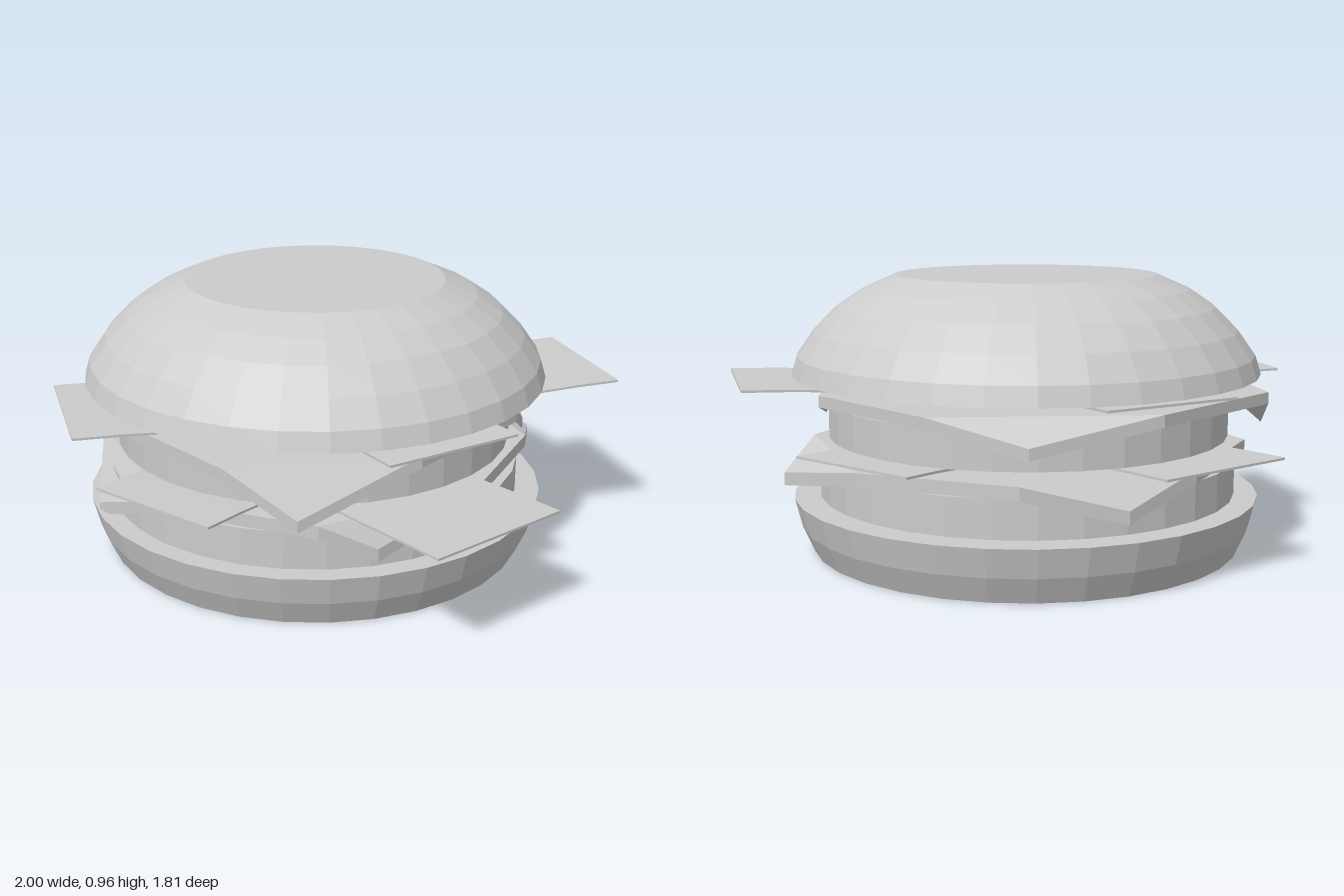
import * as THREE from 'three';

const grey = new THREE.MeshStandardMaterial({ color: 0xcccccc, flatShading: true });
grey.name = 'plain grey';

export function createModel() {
  const burger = new THREE.Group();
  burger.name = 'burger';

  const add = (name, geometry, x = 0, y = 0, z = 0) => {
    const mesh = new THREE.Mesh(geometry, grey);
    mesh.name = name;
    mesh.position.set(x, y, z);
    burger.add(mesh);
    return mesh;
  };

  // Round layers: [radius, height] profiles, closed top and bottom
  const round = (name, profile, x, z) => add(name, new THREE.LatheGeometry(
    profile.map(([r, y]) => new THREE.Vector2(r, y)), 32), x, 0, z);

  round('bottomBun', [[0, 0], [0.76, 0], [0.8, 0.09], [0.825, 0.19], [0, 0.19]], -0.055, -0.04);
  round('lowerPatty', [[0, 0.19], [0.74, 0.19], [0.74, 0.32], [0, 0.32]], -0.055, -0.025);
  round('upperPatty', [[0, 0.4], [0.71, 0.4], [0.71, 0.525], [0, 0.525]], -0.06, -0.03);
  round('topBun', [[0, 0.62], [0.825, 0.62], [0.805, 0.685], [0.745, 0.77], [0.665, 0.85],
    [0.575, 0.91], [0.46, 0.96], [0, 0.96]], -0.055, -0.04);

  // Cheese slice: flat octagon whose four corners fold down.
  // Each side lists start x, z, end x, z, then the following corner tip x, z and drop.
  const cheese = (name, top, thick, sides) => {
    const ring = [];
    for (const [ax, az, bx, bz, tx, tz, drop] of sides) {
      ring.push(new THREE.Vector3(ax, top, az), new THREE.Vector3(bx, top, bz),
        new THREE.Vector3(tx, top - drop, tz));
    }
    const n = ring.length;
    const under = ring.map(p => p.clone().setY(p.y - thick));
    const centre = new THREE.Vector3(-0.06, top, 0);
    const centreUnder = centre.clone().setY(top - thick);
    const points = [];
    const tri = (a, b, c) => points.push(a, b, c);
    for (let i = 0; i < n; i++) {
      const j = (i + 1) % n;
      // rim
      tri(under[i], under[j], ring[j]);
      tri(under[i], ring[j], ring[i]);
    }
    for (let i = 0; i < n; i += 3) {
      const b = i + 1, t = i + 2, c = (i + 3) % n;
      // flat middle, then folded corner, on both faces
      tri(centre, ring[i], ring[b]);
      tri(centre, ring[b], ring[c]);
      tri(ring[b], ring[t], ring[c]);
      tri(centreUnder, under[b], under[i]);
      tri(centreUnder, under[c], under[b]);
      tri(under[b], under[c], under[t]);
    }
    const geometry = new THREE.BufferGeometry().setFromPoints(points);
    geometry.computeVertexNormals();
    add(name, geometry);
  };

  cheese('lowerCheese', 0.37, 0.045, [
    [-0.30, 0.70, 0.22, 0.72, 0.39, 0.63, 0.095],
    [0.62, 0.30, 0.685, -0.25, 0.64, -0.55, 0.075],
    [0.25, -0.77, -0.30, -0.77, -0.60, -0.60, 0.09],
    [-0.75, -0.35, -0.80, 0.20, -0.68, 0.48, 0.155],
  ]);
  cheese('upperCheese', 0.57, 0.04, [
    [-0.61, 0.53, -0.05, 0.83, 0.18, 0.80, 0.155],
    [0.50, 0.53, 0.70, 0.04, 0.69, -0.15, 0.095],
    [0.50, -0.55, 0.00, -0.80, -0.33, -0.77, 0.08],
    [-0.68, -0.50, -0.905, 0.05, -0.83, 0.35, 0.12],
  ]);

  // Thin wavy strips, crossed in pairs above each cheese slice
  const strip = (name, x, y, z, length, width, dx, dz, wave) => {
    const geometry = new THREE.BoxGeometry(length, 0.008, width, 12, 1, 1);
    const p = geometry.attributes.position;
    for (let i = 0; i < p.count; i++) {
      p.setY(i, p.getY(i) + wave * Math.cos(p.getX(i) / length * Math.PI * 4));
    }
    geometry.computeVertexNormals();
    add(name, geometry, x, y, z).rotation.y = -Math.atan2(dz, dx);
  };

  strip('lowerStripA', -0.04, 0.384, 0.12, 1.94, 0.53, 1.64, 1.03, 0.006);
  strip('lowerStripB', -0.03, 0.392, 0, 1.74, 0.49, -0.55, 1.65, 0.008);
  strip('upperStripA', 0.06, 0.592, 0.05, 1.93, 0.53, 1.565, -1.13, 0.008);
  strip('upperStripB', -0.055, 0.604, 0, 1.73, 0.49, 1.33, 1.1, 0.008);

  return burger;
}
